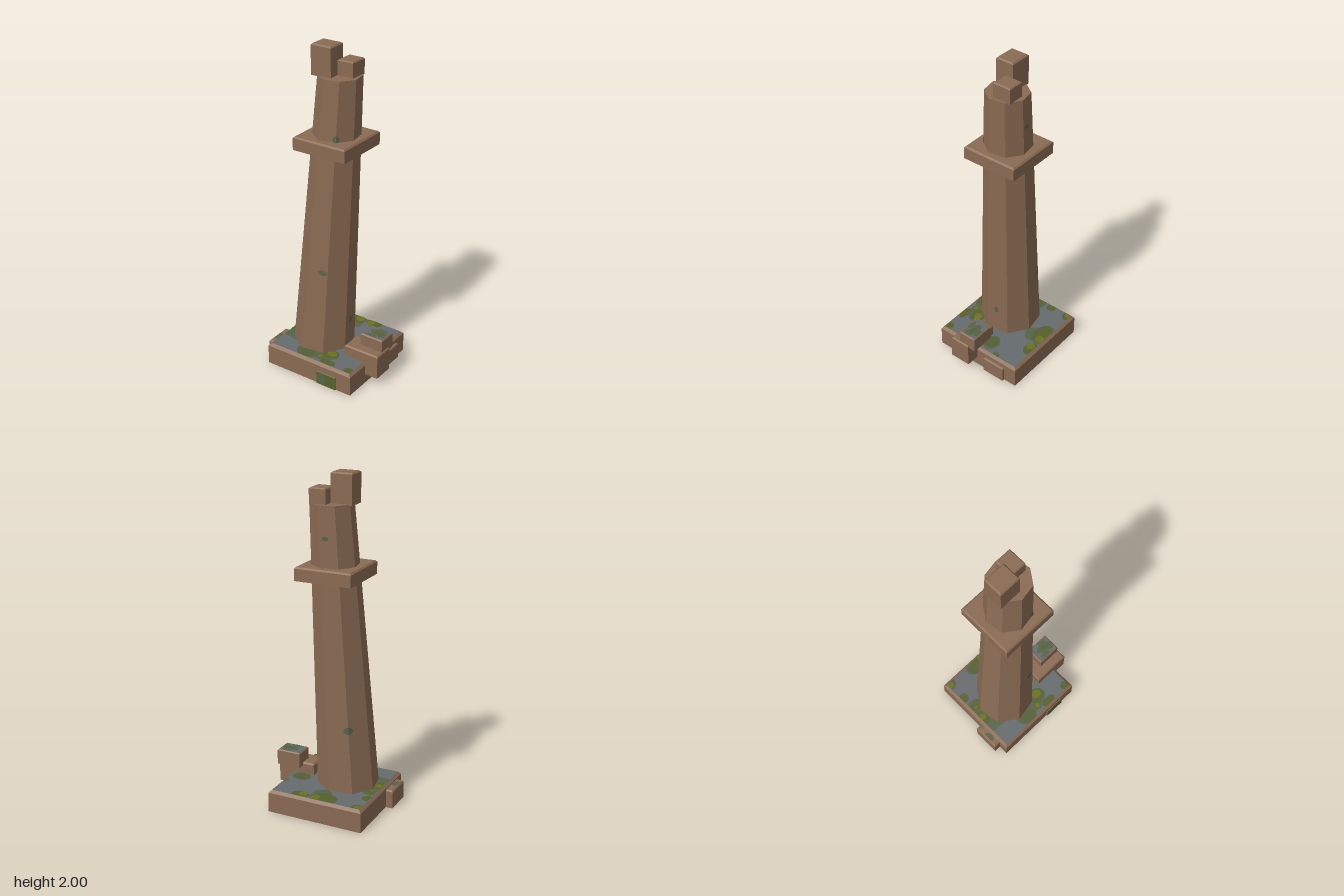
import * as THREE from 'three';

const mat = (name, color) => {
  const m = new THREE.MeshStandardMaterial({ color });
  m.name = name;
  return m;
};

export function createModel() {
  const model = new THREE.Group();
  model.name = 'ruinedPillar';
  const stone = mat('brownStone', 0x8a6b53);
  const slate = mat('greySlate', 0x666b6e);
  const paleMoss = mat('greyMoss', 0x566449);
  const olive = mat('oliveMoss', 0x545f37);
  const moss = mat('moss', 0x575f28);
  const brightMoss = mat('brightMoss', 0x6a7120);

  const add = (name, geo, material) => {
    const mesh = new THREE.Mesh(geo, material);
    mesh.name = name;
    model.add(mesh);
    return mesh;
  };
  const flat = (geo) => {
    const g = geo.toNonIndexed();
    g.computeVertexNormals();
    return g;
  };
  const clamp = THREE.MathUtils.clamp;

  // Stone block with chamfered top edges; faces may override single sides (0 = +x, 2 = top, 3 = bottom, 4 = front)
  function block(name, [x0, x1], [y0, y1], [z0, z1], bevel, faces = {}) {
    const w = x1 - x0, h = y1 - y0, d = z1 - z0;
    const geo = new THREE.BoxGeometry(w, h, d, 1, 2, 1);
    const p = geo.attributes.position;
    for (let i = 0; i < p.count; i++) {
      const y = p.getY(i);
      if (Math.abs(y) < 1e-5) p.setY(i, h / 2 - bevel);
      else if (y > 0) {
        p.setX(i, p.getX(i) * (1 - 2 * bevel / w));
        p.setZ(i, p.getZ(i) * (1 - 2 * bevel / d));
      }
    }
    const mats = [0, 1, 2, 3, 4, 5].map((i) => faces[i] || stone);
    add(name, flat(geo), mats).position.set((x0 + x1) / 2, (y0 + y1) / 2, (z0 + z1) / 2);
  }

  block('baseSlab', [-0.321, 0.279], [0, 0.138], [-0.298, 0.289], 0.016, { 2: slate });
  block('collar', [-0.195, 0.154], [1.4, 1.48], [-0.18, 0.17], 0.009);
  block('tallTopBlock', [-0.137, -0.005], [1.822, 2], [-0.046, 0.07], 0.008);
  block('shortTopBlock', [-0.005, 0.096], [1.822, 1.917], [-0.106, 0.007], 0.006);
  block('fallenLowerBlock', [0.13, 0.363], [0.06, 0.21], [-0.003, 0.129], 0.008);
  block('fallenUpperBlock', [0.204, 0.354], [0.19, 0.286], [-0.047, 0.069], 0.007, { 2: slate });
  block('leftRubble', [-0.364, -0.3], [0, 0.114], [0.06, 0.228], 0.009);
  block('frontRubble', [0.045, 0.178], [0, 0.085], [0.28, 0.296], 0.004, { 0: moss, 4: moss });
  block('rightRubble', [0.2, 0.295], [0, 0.1], [-0.214, -0.064], 0.006);

  // Leaning, tapering eight-sided shaft
  const Y0 = 0.12, Y1 = 1.828;
  const at = (y) => {
    const t = (y - Y0) / (Y1 - Y0);
    return { x: -0.088 + 0.088 * t, z: 0.031 - 0.044 * t, r: 0.184 - 0.058 * t };
  };
  const shaft = new THREE.CylinderGeometry(1, 1, Y1 - Y0, 8, 1, false, THREE.MathUtils.degToRad(32.5));
  const sp = shaft.attributes.position;
  for (let i = 0; i < sp.count; i++) {
    const y = sp.getY(i) + (Y0 + Y1) / 2, c = at(y);
    sp.setXYZ(i, c.x + sp.getX(i) * c.r, y, c.z + sp.getZ(i) * c.r);
  }
  add('shaft', flat(shaft), stone);

  // Moss patches lying on a horizontal top, clipped to that top's rectangle: centre x, z and radii
  function patches(material, y, [x0, x1, z0, z1], blobs) {
    for (const [cx, cz, rx, rz = rx] of blobs) {
      const geo = new THREE.CircleGeometry(1, 20).rotateX(-Math.PI / 2);
      const p = geo.attributes.position;
      for (let i = 0; i < p.count; i++) {
        p.setXYZ(i, clamp(cx + p.getX(i) * rx, x0, x1), y, clamp(cz + p.getZ(i) * rz, z0, z1));
      }
      add('mossPatch', geo, material);
    }
  }
  const slabTop = [-0.305, 0.263, -0.282, 0.273];
  patches(paleMoss, 0.1392, slabTop, [
    [-0.28, -0.05, 0.065, 0.045], [-0.285, 0.07, 0.055, 0.085], [-0.03, -0.2, 0.06, 0.055], [-0.06, -0.25, 0.09, 0.06],
    [0.255, -0.13, 0.02, 0.025], [0.19, -0.045, 0.06, 0.05], [-0.07, 0.215, 0.08, 0.06], [0.05, 0.18, 0.07, 0.055],
    [-0.22, 0.12, 0.06, 0.04], [0.02, 0.22, 0.05, 0.035]]);
  patches(olive, 0.1404, slabTop, [
    [-0.292, -0.272, 0.045, 0.038], [-0.29, -0.14, 0.034, 0.032], [-0.06, -0.24, 0.084, 0.052], [0.085, -0.262, 0.055, 0.04],
    [0.185, -0.043, 0.05, 0.042], [-0.075, 0.235, 0.058, 0.045], [0.095, 0.253, 0.052, 0.025], [0.245, 0.253, 0.033, 0.027],
    [-0.258, -0.048, 0.045, 0.033], [-0.29, 0.04, 0.04, 0.052], [0.06, 0.172, 0.052, 0.045]]);
  patches(moss, 0.1416, slabTop, [
    [-0.294, -0.272, 0.036, 0.032], [-0.295, -0.145, 0.022], [-0.26, -0.045, 0.028, 0.02], [-0.29, 0.038, 0.03, 0.037],
    [-0.05, -0.25, 0.065, 0.035], [0.085, -0.26, 0.045, 0.034], [0.095, 0.258, 0.038, 0.017], [0.25, 0.26, 0.022, 0.017],
    [0.064, 0.17, 0.042, 0.036], [0.02, 0.225, 0.025, 0.019]]);
  patches(brightMoss, 0.1428, slabTop, [
    [-0.295, -0.272, 0.027], [-0.013, -0.258, 0.028], [0.068, -0.25, 0.027], [-0.285, 0.036, 0.021],
    [0.068, 0.168, 0.031, 0.025], [0.02, 0.226, 0.015], [-0.275, -0.04, 0.014, 0.01]]);
  const upperTop = [0.212, 0.346, -0.039, 0.061];
  patches(paleMoss, 0.2872, upperTop, [
    [0.29, 0.005, 0.055, 0.028], [0.325, 0.025, 0.028, 0.022], [0.265, 0.047, 0.035, 0.016], [0.3, -0.028, 0.03, 0.018]]);
  patches(olive, 0.2884, upperTop, [[0.298, 0.01, 0.032, 0.016]]);
  const rubbleTop = [-0.354, -0.321, 0.07, 0.218];
  patches(paleMoss, 0.1152, rubbleTop, [[-0.343, 0.158, 0.02, 0.034]]);
  patches(slate, 0.1152, rubbleTop, [[-0.33, 0.075, 0.014, 0.012]]);

  // Greyer growth on the front rubble face
  const growth = add('frontMoss', new THREE.CircleGeometry(1, 16), paleMoss);
  growth.scale.set(0.03, 0.036, 1);
  growth.position.set(0.078, 0.042, 0.2972);

  // Small moss spots on shaft sides: side angle in degrees (x towards z), height,
  // sideways shift in half side widths, radii; spots at a side's edge wrap onto its neighbour
  const corner = (deg, y) => {
    const c = at(y), a = THREE.MathUtils.degToRad(deg);
    return new THREE.Vector3(c.x + c.r * Math.cos(a), y, c.z + c.r * Math.sin(a));
  };
  [[80, 0.67, 0.5, 0.027, 0.017], [350, 0.31, -0.08, 0.015, 0.025],
    [215, 0.53, -1, 0.03, 0.022], [260, 0.53, 1, 0.03, 0.022], [260, 1.645, -0.3, 0.02, 0.012],
    [35, 1.498, -1, 0.02, 0.019], [80, 1.498, 1, 0.02, 0.019]].forEach(([deg, y, shift, rx, ry]) => {
    const a = corner(deg + 22.5, y), b = corner(deg - 22.5, y);
    const half = a.distanceTo(b) / 2;
    const right = b.clone().sub(a).normalize();
    const mid = a.clone().add(b).multiplyScalar(0.5);
    const up = corner(deg + 22.5, y + 0.1).sub(a);
    const normal = right.clone().cross(up).normalize();
    up.crossVectors(normal, right);
    const geo = new THREE.CircleGeometry(1, 16);
    const p = geo.attributes.position;
    for (let i = 0; i < p.count; i++) {
      p.setXY(i, clamp(shift * half + p.getX(i) * rx, -half, half), p.getY(i) * ry);
    }
    const spot = add('shaftMoss', geo, paleMoss);
    spot.quaternion.setFromRotationMatrix(new THREE.Matrix4().makeBasis(right, up, normal));
    spot.position.copy(mid).addScaledVector(normal, 0.0015);
  });

  return model;
}
